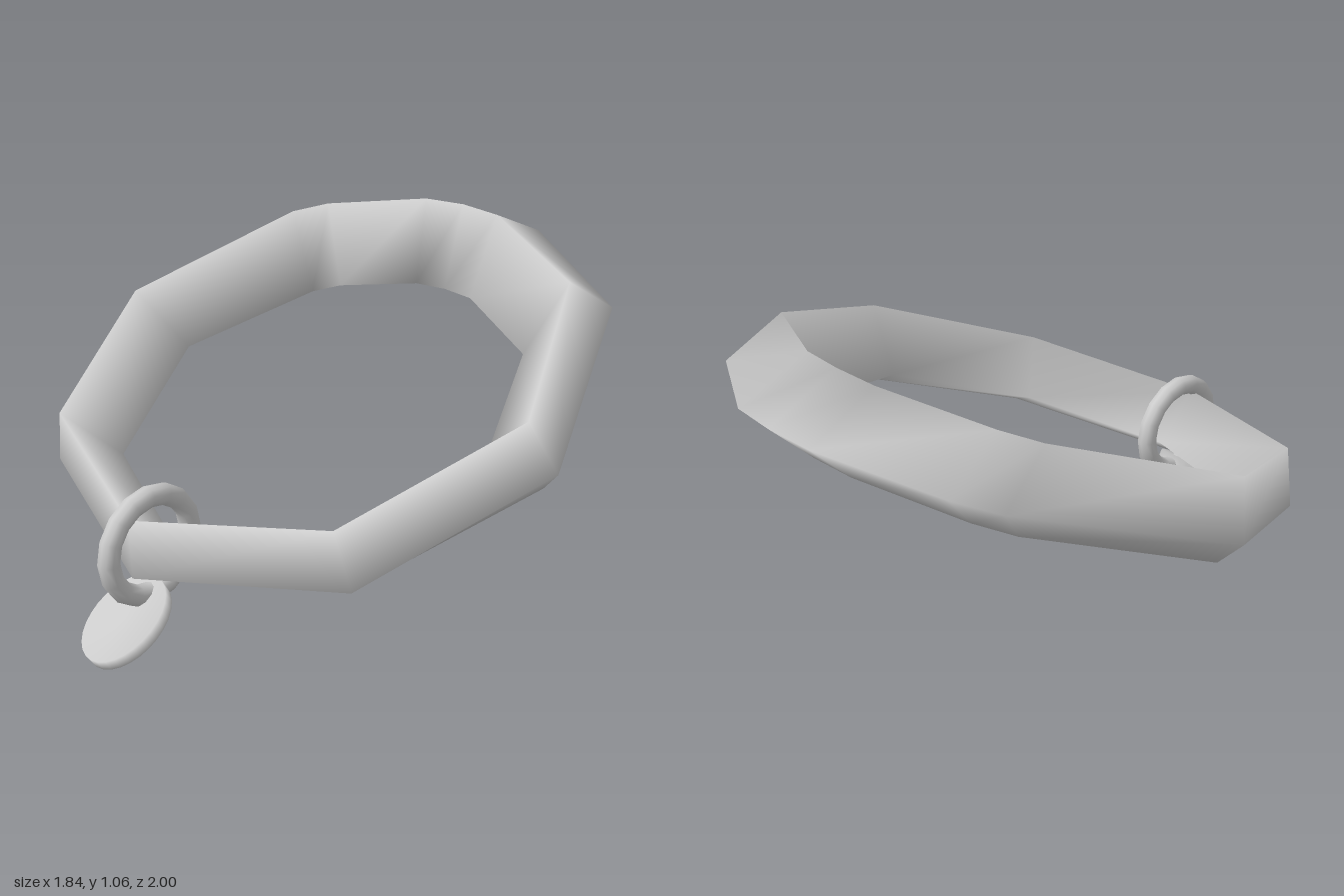
import * as THREE from 'three';

const material = new THREE.MeshStandardMaterial({ color: 0xcccccc, side: THREE.DoubleSide });

// Four-sided cross-section as [radius, height, depth stretch] at angle t (0 = front, 180 = back)
function section(t) {
  const front = Math.max(0, Math.cos(t));
  const isFront = Math.cos(t) > 0.01, isBack = Math.cos(t) < -0.01;
  return [
    [0.85, 0.44 + 0.035 * front, 1],                            // bottom ridge
    [0.918, 0.524, isBack ? 1.13 : 1],                          // outer ridge
    [0.85, 0.71, 1],                                            // top ridge
    [0.66, isBack ? 0.475 : 0.51, isFront ? 1.12 : 1],          // inner ridge
  ];
}

// Tilted eight-sided band, with a few extra stations rounding its back
function bandGeometry() {
  const stations = [0, 45, 90, 135, 169.5, 180, 190.5, 216, 225, 270, 315];
  const positions = [], index = [], sides = 4;
  stations.forEach((degrees, i) => {
    const t = THREE.MathUtils.degToRad(degrees);
    section(t).forEach(([radius, h, stretch], j) => {
      const x = radius * Math.sin(t);
      const r = 0.245 - radius * stretch * Math.cos(t);
      positions.push(x, 0.93 * h + 0.37 * r, -0.93 * r + 0.37 * h);
      const n = (i + 1) % stations.length, k = (j + 1) % sides;
      const a = i * sides + j, b = n * sides + j, c = n * sides + k, d = i * sides + k;
      index.push(a, b, c, a, c, d);
    });
  });
  const geometry = new THREE.BufferGeometry();
  geometry.setAttribute('position', new THREE.Float32BufferAttribute(positions, 3));
  geometry.setIndex(index);
  geometry.computeVertexNormals();
  return geometry;
}

// Disc with a flat underside and a softly shaded rim and top
function tagGeometry() {
  const radius = 0.14, half = 0.022;
  const profile = [
    [0, -half], [radius * 0.98, -half], [radius, -half], [radius, half], [0, half],
  ].map(([x, y]) => new THREE.Vector2(x, y));
  return new THREE.LatheGeometry(profile, 28);
}

export function createModel() {
  const group = new THREE.Group();
  const add = (name, geometry) => {
    const mesh = new THREE.Mesh(geometry, material);
    mesh.name = name;
    group.add(mesh);
    return mesh;
  };

  add('collarBand', bandGeometry());

  // Ring looped around the front of the band
  const ring = add('hangingRing', new THREE.TorusGeometry(0.162, 0.034, 10, 16));
  ring.rotation.y = Math.PI / 2;
  ring.position.set(0, 0.323, 0.745);

  // Oval tag hanging forward from the ring
  const tag = add('tag', tagGeometry());
  tag.scale.set(0.86, 1, 1.14);
  tag.rotation.x = 0.56;
  tag.position.set(0, 0.105, 0.852);

  return group;
}
